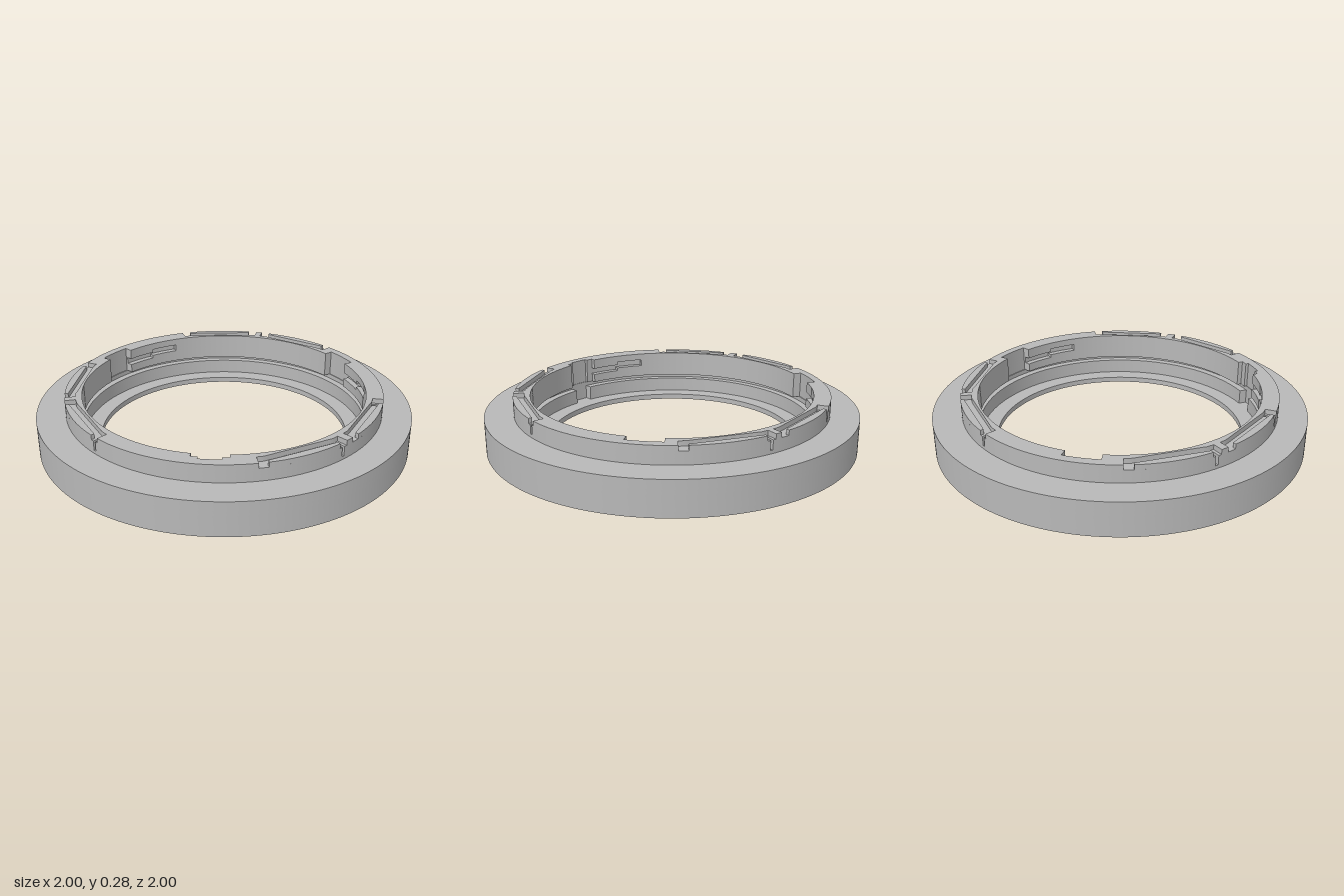
import * as THREE from 'three';
import { toCreasedNormals } from 'three/addons/utils/BufferGeometryUtils.js';

const metal = new THREE.MeshStandardMaterial({ color: 0xb8b8b8 });
metal.name = 'greyMetal';

const BORE = 0.757, FLANGE = 0.847, RAD = Math.PI / 180;
// Azimuths in degrees, measured from +z towards +x
const SPRINGS = [31.3, 66.5, 152, 186.6, 268.8, 303.8];
const HALF = 14.5, END = 1.6;
const ENTRIES = [0, 125, 239];

const diff = (a, b) => ((a - b + 540) % 360 + 360) % 360 - 180;
const at = (r, az) => new THREE.Vector2(r * Math.sin(az * RAD), -r * Math.cos(az * RAD));

// Closed outline: a base circle, changed over angular sectors {mid, half, r}; r may be a function
function outline(base, cuts = []) {
  const angles = [];
  for (let a = 0; a < 360; a += 1.5) angles.push(a);
  for (const c of cuts) {
    for (const s of [-1, 1]) for (const e of [-0.01, 0.01]) {
      angles.push((c.mid + s * c.half + e + 720) % 360);
    }
  }
  angles.sort((a, b) => a - b);
  return angles.map((a) => {
    const c = cuts.find((k) => Math.abs(diff(a, k.mid)) < k.half);
    const r = !c ? base : typeof c.r === 'function' ? c.r(diff(a, c.mid)) : c.r;
    return at(r, a);
  });
}

function extrude(shape, y0, y1) {
  const g = new THREE.ExtrudeGeometry(shape, { depth: y1 - y0, bevelEnabled: false });
  g.rotateX(-Math.PI / 2);
  g.translate(0, y0, 0);
  return toCreasedNormals(g, 0.35);
}

function add(group, name, shape, y0, y1) {
  const mesh = new THREE.Mesh(extrude(shape, y0, y1), metal);
  mesh.name = name;
  group.add(mesh);
}

function ring(outer, inner, outerCuts, innerCuts) {
  const shape = new THREE.Shape(outline(outer, outerCuts));
  shape.holes.push(new THREE.Path(outline(inner, innerCuts)));
  return shape;
}

export function createModel() {
  const group = new THREE.Group();
  group.name = 'mountRing';

  // Bayonet entries, the key notch at the front and the pockets beside the entries
  const key = [{ mid: 0, half: 4, r: 0.8 }];
  const entries = [
    ...key,
    ...ENTRIES.map((mid) => ({ mid, half: 6.7, r: mid === 0 ? 0.783 : 0.802 })),
  ];
  const pocket = (from, to) => ENTRIES.map((az) => ({
    mid: az - (from + to) / 2, half: (to - from) / 2, r: 0.79,
  }));
  const nearPocket = pocket(6.7, 19), farPocket = pocket(19, 31);

  // Spring slots: a narrow slit at one end, square openings and a straight channel above
  const slits = SPRINGS.map((m) => ({ mid: m + HALF, half: 0.5, r: 0.79 }));
  const channels = SPRINGS.map((mid) => ({
    mid, half: HALF + END,
    r: (d) => Math.abs(d) > HALF - END ? 0.79 : 0.768 / Math.cos(d * RAD),
  }));

  // Wide base with inner lip and groove
  add(group, 'bottomLip', ring(1, 0.667), 0, 0.03);
  add(group, 'lowerBody', ring(1, BORE, [], key), 0.03, 0.11);
  add(group, 'innerGroove', ring(1, 0.797), 0.11, 0.135);
  add(group, 'upperBody', ring(1, BORE, [], entries), 0.135, 0.183);

  // Raised flange
  add(group, 'flangeFoot', ring(FLANGE, BORE, [], [...entries, ...nearPocket]), 0.183, 0.2);
  add(group, 'flangeLower', ring(FLANGE, BORE, slits, [...entries, ...nearPocket, ...farPocket]), 0.2, 0.22);
  add(group, 'flangeMiddle', ring(FLANGE, BORE, slits, [...entries, ...farPocket]), 0.22, 0.238);
  add(group, 'flangeUpper', ring(FLANGE, BORE, slits, entries), 0.238, 0.25);
  add(group, 'flangeTop', ring(FLANGE, BORE, channels, entries), 0.25, 0.276);

  // Outer lip left standing beside each channel
  for (const mid of SPRINGS) {
    const h = HALF - END, pts = [];
    for (let i = 0; i <= 16; i++) pts.push(at(FLANGE, mid - h + (2 * h * i) / 16));
    for (const d of [h, -h]) pts.push(at(0.808 / Math.cos(d * RAD), mid + d));
    add(group, 'springLip', new THREE.Shape(pts), 0.25, 0.276);
  }
  return group;
}
